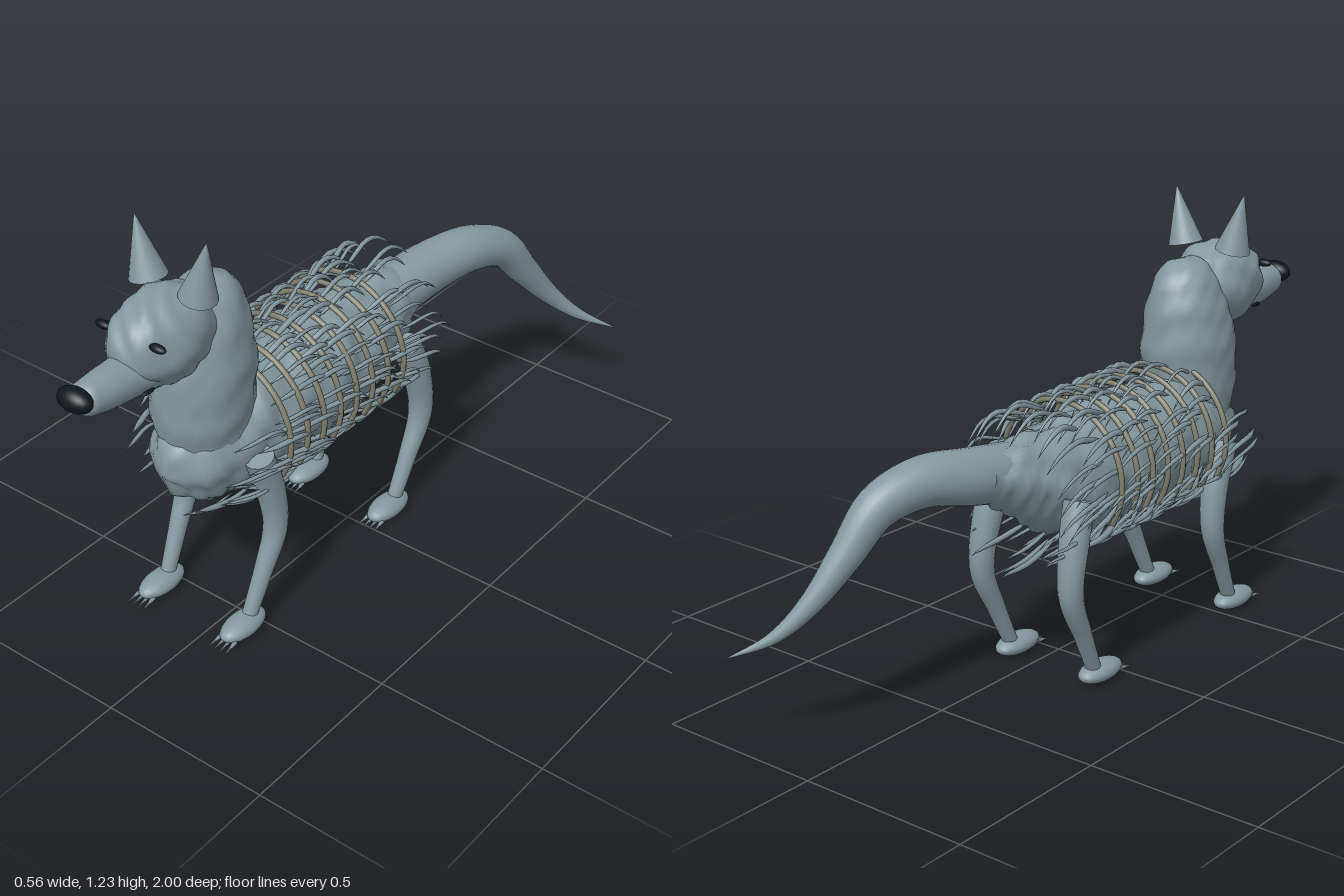
import * as THREE from 'three';
import { mergeGeometries, mergeVertices } from 'three/addons/utils/BufferGeometryUtils.js';

const CX = -0.065; // middle plane of the animal
const fur = new THREE.MeshStandardMaterial({ color: 0x84989f, side: THREE.DoubleSide });
const bone = new THREE.MeshStandardMaterial({ color: 0x7f7d6d, side: THREE.DoubleSide });
const dark = new THREE.MeshStandardMaterial({ color: 0x10161e });

let seed = 7;
const rnd = () => (seed = (seed * 16807) % 2147483647) / 2147483647;

// Tube through [x, y, z, radius] points, its radius following the points
function taper(pts, steps, sides) {
  const curve = new THREE.CatmullRomCurve3(pts.map(p => new THREE.Vector3(p[0], p[1], p[2])));
  const g = new THREE.TubeGeometry(curve, steps, 1, sides, false);
  const pos = g.attributes.position, v = new THREE.Vector3();
  for (let i = 0; i <= steps; i++) {
    const c = curve.getPointAt(i / steps);
    const t = curve.getUtoTmapping(i / steps) * (pts.length - 1);
    const k = Math.min(Math.floor(t), pts.length - 2);
    const r = THREE.MathUtils.lerp(pts[k][3], pts[k + 1][3], t - k);
    for (let j = 0; j <= sides; j++) {
      const n = i * (sides + 1) + j;
      v.fromBufferAttribute(pos, n).sub(c).multiplyScalar(r).add(c);
      pos.setXYZ(n, v.x, v.y, v.z);
    }
  }
  return smooth(g);
}

// Weld the seam and renew the normals
function smooth(g) {
  g.deleteAttribute('uv');
  g.deleteAttribute('normal');
  const m = mergeVertices(g, 1e-5);
  m.computeVertexNormals();
  return m;
}

// Uneven, matted surface
function ruffle(g, amount) {
  const pos = g.attributes.position, nor = g.attributes.normal;
  for (let i = 0; i < pos.count; i++) {
    const x = pos.getX(i), y = pos.getY(i), z = pos.getZ(i);
    const d = amount * (Math.sin(x * 47 + y * 23) * Math.sin(z * 37 + y * 31) + 0.5 * Math.sin(x * 90 - z * 71 + y * 60));
    pos.setXYZ(i, x + nor.getX(i) * d, y + nor.getY(i) * d, z + nor.getZ(i) * d);
  }
  g.computeVertexNormals();
  return g;
}

// Ellipsoid from centre and radii
function ball(c, r, w = 20, h = 14) {
  return smooth(new THREE.SphereGeometry(1, w, h).scale(...r).translate(...c));
}

// Cone from base centre to tip
function spike(base, tip, r, sides) {
  const a = new THREE.Vector3(...base), b = new THREE.Vector3(...tip), d = b.clone().sub(a);
  const g = new THREE.ConeGeometry(r, d.length(), sides).translate(0, d.length() / 2, 0);
  g.applyQuaternion(new THREE.Quaternion().setFromUnitVectors(new THREE.Vector3(0, 1, 0), d.normalize()));
  return g.translate(a.x, a.y, a.z);
}

export function createModel() {
  const root = new THREE.Group();
  const add = (parent, name, geo, mat = fur) => {
    const m = new THREE.Mesh(geo, mat);
    m.name = name;
    parent.add(m);
    return m;
  };

  // Torso, slightly narrower than tall
  const torso = taper([[0, 0.53, 0.685, 0.005], [0, 0.535, 0.66, 0.085], [0, 0.545, 0.58, 0.14], [0, 0.555, 0.4, 0.18],
    [0, 0.56, 0.1, 0.182], [0, 0.57, -0.1, 0.16], [0, 0.61, -0.25, 0.11], [0, 0.645, -0.4, 0.05]], 60, 40);
  torso.scale(0.87, 1, 1).translate(CX, 0, 0);
  add(root, 'torso', ruffle(torso, 0.008));

  // Neck
  const neck = taper([[0, 0.54, 0.51, 0.125], [0, 0.68, 0.525, 0.147], [0, 0.82, 0.515, 0.15], [0, 0.93, 0.503, 0.128],
    [0, 1.01, 0.495, 0.095], [0, 1.05, 0.49, 0.055], [0, 1.063, 0.488, 0.002]], 36, 28);
  neck.scale(0.87, 1, 1).translate(CX, 0, 0);
  add(root, 'neck', ruffle(neck, 0.003));

  // Head
  const head = new THREE.Group();
  head.name = 'head';
  root.add(head);
  add(head, 'skull', ruffle(ball([CX, 0.963, 0.66], [0.113, 0.127, 0.162], 40, 30), 0.005));
  add(head, 'snout', taper([[CX, 0.91, 0.72, 0.072], [CX, 0.908, 0.8, 0.06], [CX, 0.912, 0.88, 0.054],
    [CX, 0.918, 0.94, 0.045], [CX, 0.922, 0.965, 0.025], [CX, 0.922, 0.97, 0.002]], 24, 20));
  add(head, 'nose', ball([CX, 0.932, 0.968], [0.053, 0.032, 0.032]), dark);
  for (const s of [-1, 1]) {
    add(head, 'eye', ball([CX + s * 0.088, 1.008, 0.77], [0.026, 0.011, 0.013], 14, 10), dark);
    add(head, 'mouthCorner', ball([CX + s * 0.058, 0.876, 0.78], [0.008, 0.005, 0.022], 10, 8), dark);
    add(head, 'ear', spike([CX + s * 0.081, 1.073, 0.612], [CX + s * 0.117, 1.24, 0.612], 0.051, 24));
  }

  // Legs, feet and claws
  for (const s of [-1, 1]) {
    const legs = [
      ['frontLeg', [[0.152, 0.55, 0.487, 0.041], [0.153, 0.42, 0.445, 0.04], [0.157, 0.29, 0.435, 0.034],
        [0.153, 0.17, 0.485, 0.026], [0.147, 0.04, 0.545, 0.021]], 0.568],
      ['hindLeg', [[0.14, 0.55, -0.17, 0.044], [0.15, 0.45, -0.205, 0.042], [0.155, 0.3, -0.225, 0.035],
        [0.152, 0.17, -0.17, 0.026], [0.147, 0.04, -0.11, 0.021]], -0.085]];
    for (const [name, path, footZ] of legs) {
      const leg = new THREE.Group();
      leg.name = name;
      root.add(leg);
      const pts = path.map(p => [CX + s * p[0], p[1], p[2], p[3]]);
      add(leg, 'limb', taper(pts, 24, 18));
      const top = add(leg, 'shoulderCap', new THREE.CircleGeometry(path[0][3], 18));
      top.position.set(...pts[0].slice(0, 3));
      top.rotation.x = -Math.PI / 2 + 0.3;
      const fx = CX + s * 0.147;
      add(leg, 'foot', ball([fx, 0.035, footZ], [0.043, 0.029, 0.083]));
      for (let i = -1.5; i <= 1.5; i++) {
        add(leg, 'claw', spike([fx + i * 0.016, 0.026, footZ + 0.06], [fx + i * 0.019, 0.017, footZ + 0.115], 0.007, 6));
      }
    }
  }

  // Tail, swinging to the left
  add(root, 'tail', taper([[-0.063, 0.6, -0.1, 0.07], [-0.055, 0.615, -0.2, 0.084], [-0.03, 0.645, -0.4, 0.077],
    [0.015, 0.66, -0.55, 0.068], [0.05, 0.62, -0.67, 0.058], [0.08, 0.51, -0.76, 0.045], [0.12, 0.4, -0.845, 0.03],
    [0.18, 0.315, -0.92, 0.017], [0.275, 0.257, -1, 0.001]], 48, 24));

  // Rib bands arching over the back
  const ribs = new THREE.Group();
  ribs.name = 'ribs';
  root.add(ribs);
  for (let i = 0; i < 8; i++) {
    const z = 0.42 - i * 0.07, pts = [];
    for (let k = 0; k <= 12; k++) {
      const a = -0.55 + k * (Math.PI + 1.1) / 12;
      pts.push([CX + 0.205 * Math.cos(a), 0.57 + 0.207 * Math.sin(a), z, 0.008]);
    }
    add(ribs, 'rib', taper(pts, 36, 8), bone);
  }

  // Coarse hair locks, sweeping back, arching and drooping at the tips
  const locks = [];
  const rows = 26;
  for (let r = 0; r < rows; r++) {
    const a0 = (r / rows) * Math.PI * 2;
    const zFront = Math.sin(a0) > 0.4 ? 0.38 : 0.57;
    for (let z = zFront; z > -0.21; z -= 0.1) {
      const a = a0 + (rnd() - 0.5) * 0.24, c = Math.cos(a), s = Math.sin(a);
      const z0 = z + (rnd() - 0.5) * 0.08, len = 0.14 + rnd() * 0.06, w = 0.005 + rnd() * 0.004;
      const sag = s < -0.5 ? 0.3 : 1; // belly hair hangs less
      const at = (out, drop, k, rad) => [CX + (0.193 + out) * c, 0.575 + (0.2 + out) * s - drop * sag, z0 - len * k, rad];
      locks.push(taper([at(-0.02, 0, -0.25, 0.001), at(0, 0, 0.05, w), at(0.016, -0.004, 0.35, w),
        at(0.018, 0.004, 0.6, w * 0.85), at(0.012, 0.024, 0.82, w * 0.55), at(0.008, 0.05, 1, 0.0005)], 10, 6));
    }
  }
  add(root, 'hairLocks', mergeGeometries(locks));
  return root;
}
